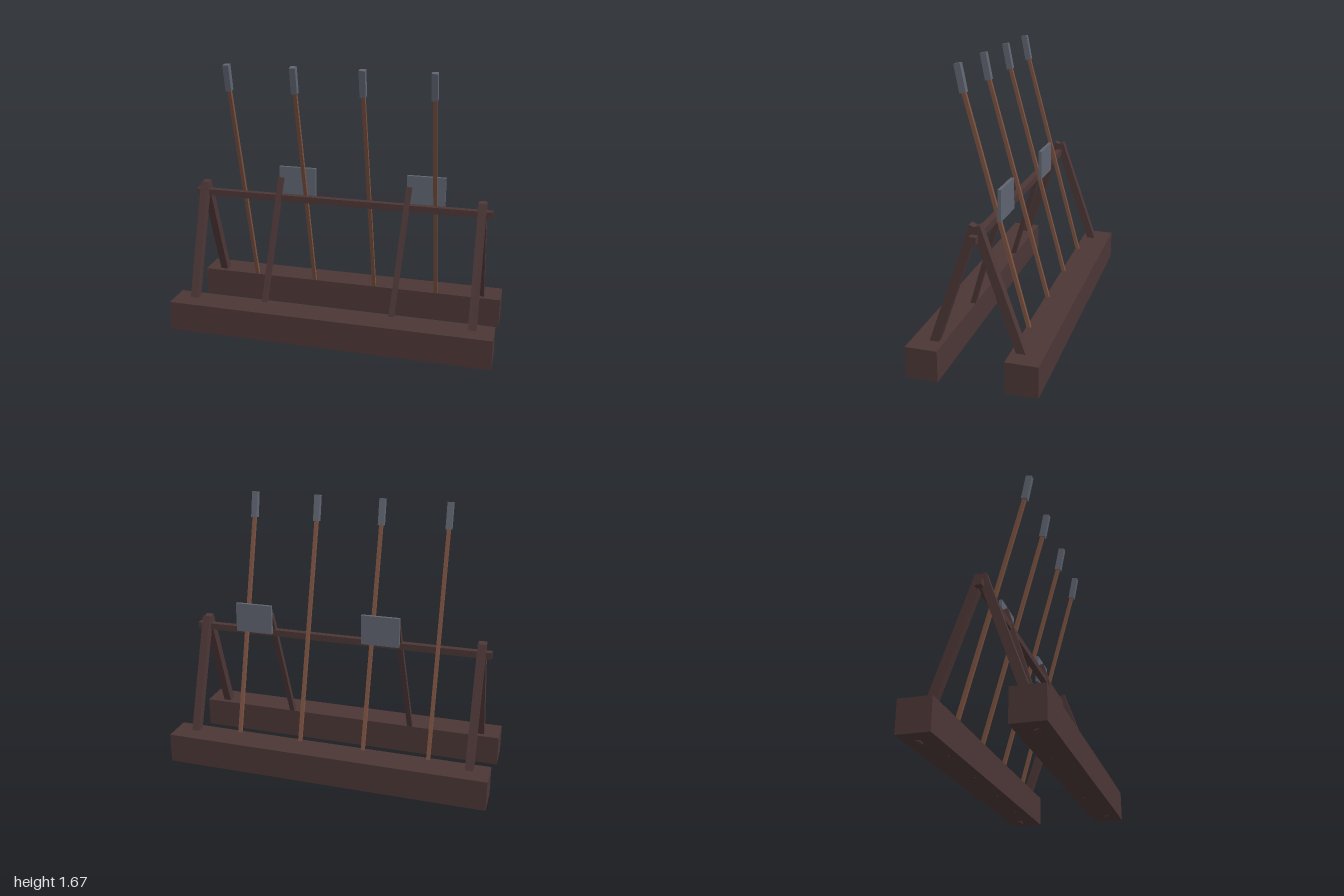
import * as THREE from 'three';

export function createModel() {
  const group = new THREE.Group();
  const mat = (name, color) => {
    const m = new THREE.MeshStandardMaterial({ color });
    m.name = name;
    return m;
  };
  const darkWood = mat('dark wood', 0x4c3636);
  const lightWood = mat('shaft wood', 0x7a5140);
  const metal = mat('grey metal', 0x5f6470);

  const box = (name, size, pos, material) => {
    const mesh = new THREE.Mesh(new THREE.BoxGeometry(...size), material);
    mesh.name = name;
    mesh.position.set(...pos);
    group.add(mesh);
    return mesh;
  };

  // Square bar running from point a to point b
  const bar = (name, a, b, w, d, material) => {
    const from = new THREE.Vector3(...a), to = new THREE.Vector3(...b);
    const mid = from.clone().add(to).multiplyScalar(0.5);
    const mesh = box(name, [w, from.distanceTo(to), d], mid.toArray(), material);
    const dir = to.sub(from).normalize();
    mesh.quaternion.setFromUnitVectors(new THREE.Vector3(0, 1, 0), dir);
    return mesh;
  };

  // Heavy base beams and crossed end legs
  for (const s of [1, -1]) {
    box('baseBeam', [2, 0.185, 0.185], [0, 0.103, s * 0.281], darkWood);
    for (const x of [-0.88, 0.872]) {
      bar('leg', [x, 0.009, s * 0.311], [x, 0.885, s * 0.005], 0.048, 0.05, darkWood);
    }
  }

  // Top rail
  box('topRail', [1.875, 0.04, 0.04], [-0.003, 0.822, 0], darkWood);

  // Long leaning tools with metal heads
  for (const x of [-0.627, -0.222, 0.184, 0.59]) {
    bar('toolShaft', [x, 0.012, -0.252], [x, 1.53, 0.161], 0.022, 0.022, lightWood);
    bar('toolHead', [x, 1.512, 0.158], [x, 1.667, 0.188], 0.036, 0.037, metal);
  }

  // Short tilted tools with flat blades
  for (const x of [-0.4, 0.41]) {
    bar('bladeShaft', [x - 0.04, 0.01, 0.262], [x + 0.02, 0.945, -0.024], 0.032, 0.03, darkWood);
    box('blade', [0.235, 0.182, 0.02], [x + 0.119, 0.919, -0.052], metal);
  }

  return group;
}
